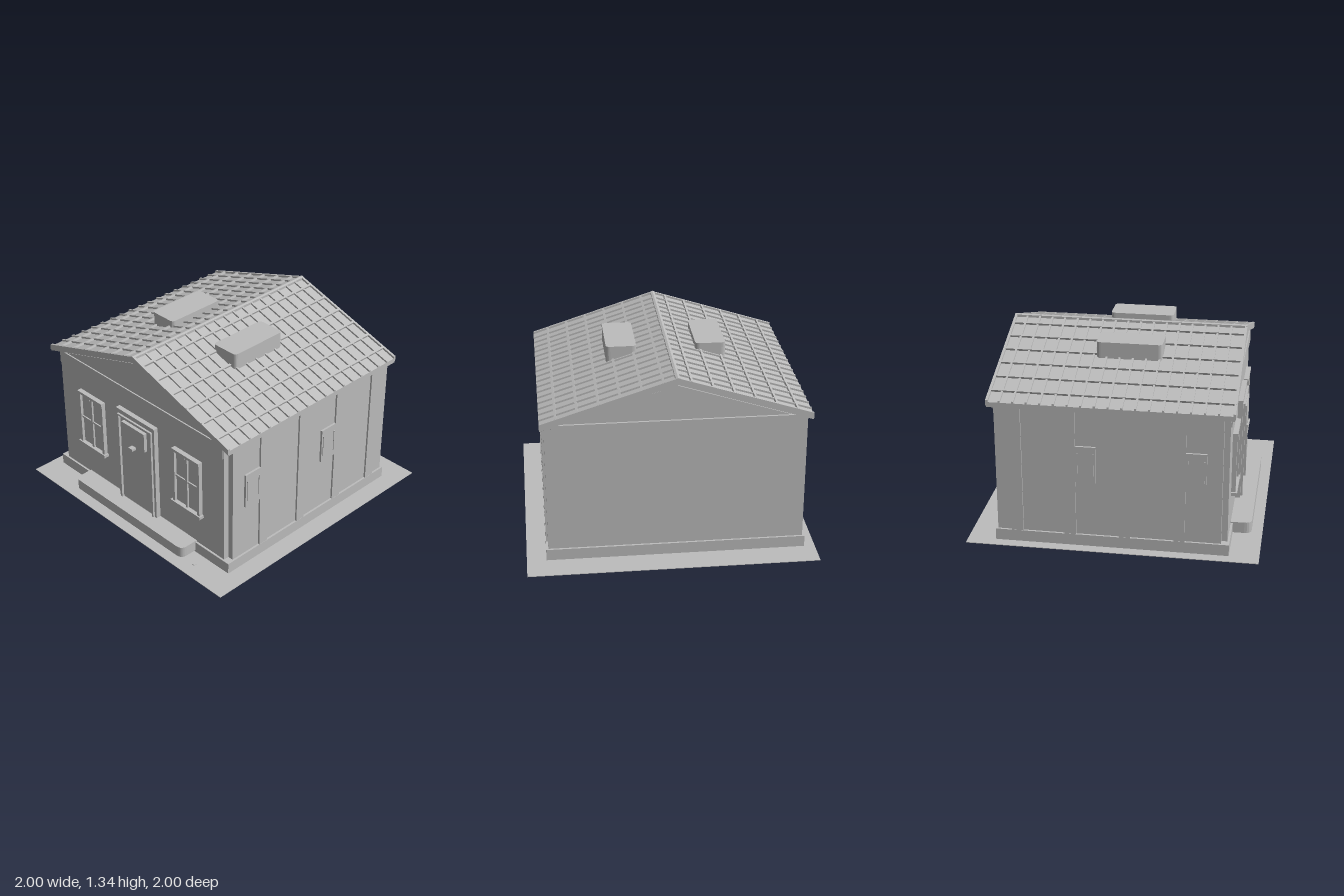
import * as THREE from 'three';

export function createModel() {
  const model = new THREE.Group();
  const grey = new THREE.MeshStandardMaterial({ color: 0xbcbcbc });
  const CX = -0.03; // ridge line of the house

  const add = (name, geometry, parent = model) => {
    const mesh = new THREE.Mesh(geometry, grey);
    mesh.name = name;
    parent.add(mesh);
    return mesh;
  };
  // Box given by its limits on each axis
  const box = (name, x0, x1, y0, y1, z0, z1, parent) => {
    const mesh = add(name, new THREE.BoxGeometry(x1 - x0, y1 - y0, z1 - z0), parent);
    mesh.position.set((x0 + x1) / 2, (y0 + y1) / 2, (z0 + z1) / 2);
    return mesh;
  };
  const group = (name) => {
    const g = new THREE.Group();
    g.name = name;
    model.add(g);
    return g;
  };
  // Profile in x and y, extruded from z0 to z1
  const prism = (name, points, z0, z1, parent) => {
    const shape = new THREE.Shape(points.map(([x, y]) => new THREE.Vector2(x, y)));
    const geo = new THREE.ExtrudeGeometry(shape, { depth: z1 - z0, bevelEnabled: false });
    geo.translate(0, 0, z0);
    return add(name, geo, parent);
  };
  // Block with rounded corners in plan; rBack and rFront are the corner radii
  const slab = (name, x0, x1, y0, y1, z0, z1, rBack, rFront, parent) => {
    const s = new THREE.Shape();
    const a = -z1, b = -z0;
    s.moveTo(x0 + rFront, a);
    s.lineTo(x1 - rFront, a);
    s.quadraticCurveTo(x1, a, x1, a + rFront);
    s.lineTo(x1, b - rBack);
    if (rBack) s.quadraticCurveTo(x1, b, x1 - rBack, b);
    s.lineTo(x0 + rBack, b);
    if (rBack) s.quadraticCurveTo(x0, b, x0, b - rBack);
    s.lineTo(x0, a + rFront);
    s.quadraticCurveTo(x0, a, x0 + rFront, a);
    const geo = new THREE.ExtrudeGeometry(s, { depth: y1 - y0, bevelEnabled: false, curveSegments: 5 });
    geo.rotateX(-Math.PI / 2).translate(0, y0, 0);
    return add(name, geo, parent);
  };

  // Ground, plinth and walls
  box('ground', -1, 1, 0, 0.004, -1, 1);
  box('plinth', -0.925, 0.865, 0.002, 0.085, -0.805, 0.795);
  box('walls', -0.87, 0.81, 0.08, 1.01, -0.79, 0.78);
  for (const [z0, z1] of [[-0.805, -0.78], [0.77, 0.79]]) {
    box('frieze', -0.865, 0.805, 0.92, 1.02, z0, z1);
  }
  prism('gable', [[CX - 0.8, 1.01], [CX + 0.8, 1.01], [CX, 1.265]], -0.79, 0.78);

  // Side walls: panels between raised posts, with small window boxes
  const posts = [[0.42, 0.495], [0.05, 0.125], [-0.325, -0.245], [-0.69, -0.61]];
  for (const side of [-1, 1]) {
    const g = group(side > 0 ? 'leftSide' : 'rightSide');
    const out = (name, d0, d1, y0, y1, z0, z1) => {
      const a = CX + side * d0, b = CX + side * d1;
      box(name, Math.min(a, b), Math.max(a, b), y0, y1, z0, z1, g);
    };
    out('sidePanel', 0.82, 0.88, 0.08, 1, -0.79, 0.74);
    for (const [z0, z1] of posts) out('post', 0.87, 0.893, 0.08, 1, z0, z1);
    for (const z of [0.495, -0.245]) {
      out('sideWindow', 0.87, 0.895, 0.48, 0.74, z, z + 0.14);
      for (const dz of [0.012, 0.12]) out('sideWindowBar', 0.88, 0.9, 0.53, 0.69, z + dz, z + dz + 0.008);
    }
  }

  // Front windows
  for (const x of [-0.66, 0.335]) {
    const g = group('frontWindow');
    const w = 0.265;
    box('windowPane', x + 0.01, x + w - 0.01, 0.35, 0.77, 0.77, 0.789, g);
    box('windowHead', x, x + w, 0.765, 0.785, 0.77, 0.815, g);
    box('windowSill', x - 0.014, x + w + 0.012, 0.33, 0.352, 0.77, 0.82, g);
    for (const dx of [0, w - 0.022]) box('windowJamb', x + dx, x + dx + 0.022, 0.35, 0.77, 0.77, 0.81, g);
    box('windowMullion', x + w / 2 - 0.009, x + w / 2 + 0.009, 0.35, 0.77, 0.77, 0.803, g);
    box('windowCrossbar', x + 0.02, x + w - 0.02, 0.555, 0.57, 0.77, 0.799, g);
    box('windowLatch', x + 0.1, x + 0.107, 0.73, 0.755, 0.78, 0.797, g);
  }

  // Door with frame, panel and letter slot
  const door = group('door');
  box('doorLeaf', -0.2, 0.14, 0.1, 0.81, 0.77, 0.812, door);
  box('doorHead', -0.23, 0.165, 0.81, 0.845, 0.77, 0.815, door);
  box('doorJamb', -0.23, -0.2, 0.085, 0.81, 0.77, 0.815, door);
  box('doorJamb', 0.14, 0.165, 0.085, 0.81, 0.77, 0.815, door);
  box('doorTrim', -0.205, -0.19, 0.1, 0.81, 0.78, 0.83, door);
  box('doorTrim', 0.13, 0.145, 0.1, 0.81, 0.78, 0.83, door);
  box('doorTrim', -0.205, 0.145, 0.8, 0.812, 0.78, 0.83, door);
  box('doorPanel', -0.15, 0.085, 0.628, 0.775, 0.8, 0.838, door);
  box('letterSlot', -0.075, -0.033, 0.58, 0.597, 0.8, 0.848, door);

  // Front step on a low footing
  slab('step', -0.605, 0.54, 0.015, 0.095, 0.77, 0.925, 0, 0.05);
  slab('stepFooting', -0.25, 0.19, 0.001, 0.016, 0.79, 0.9, 0, 0.03);
  box('groundMarker', 0.625, 0.645, 0, 0.008, 0.885, 0.905);

  // Roof: chevron slab, edge trims and a grid of raised ribs
  const roof = group('roof');
  const HALF = 0.91, SLOPE = 0.32, Z0 = -0.835, Z1 = 0.815;
  const chevron = (name, top, bottom, z0, z1, half = HALF) => prism(name, [
    [CX - half, bottom - half * SLOPE], [CX, bottom], [CX + half, bottom - half * SLOPE],
    [CX + half, top - half * SLOPE], [CX, top], [CX - half, top - half * SLOPE],
  ], z0, z1, roof);
  chevron('roofSlab', 1.32, 1.285, Z0 + 0.005, Z1 - 0.005);
  chevron('vergeTrim', 1.335, 1.295, Z0, Z0 + 0.018);
  chevron('vergeTrim', 1.335, 1.295, Z1 - 0.018, Z1);
  for (let i = 0; i < 17; i++) {
    const z = -0.743 + i * 0.0905;
    chevron('slopeRib', 1.333, 1.31, z - 0.007, z + 0.007);
  }
  chevron('ridgeCap', 1.337, 1.3, Z0, Z1, 0.015);
  for (const side of [-1, 1]) {
    for (let i = 0; i < 6; i++) {
      const d = 0.09 + i * 0.142;
      const rib = add('lengthRib', new THREE.BoxGeometry(0.016, 0.022, Z1 - Z0 - 0.01), roof);
      rib.position.set(CX + side * d, 1.324 - d * SLOPE, (Z0 + Z1) / 2);
      rib.rotation.z = -side * Math.atan(SLOPE);
    }
  }

  // Roof boxes
  slab('roofBox', -0.44, -0.23, 1.165, 1.303, -0.18, 0.272, 0.03, 0.03);
  slab('roofBox', 0.182, 0.393, 1.165, 1.303, -0.18, 0.272, 0.03, 0.03);

  return model;
}
